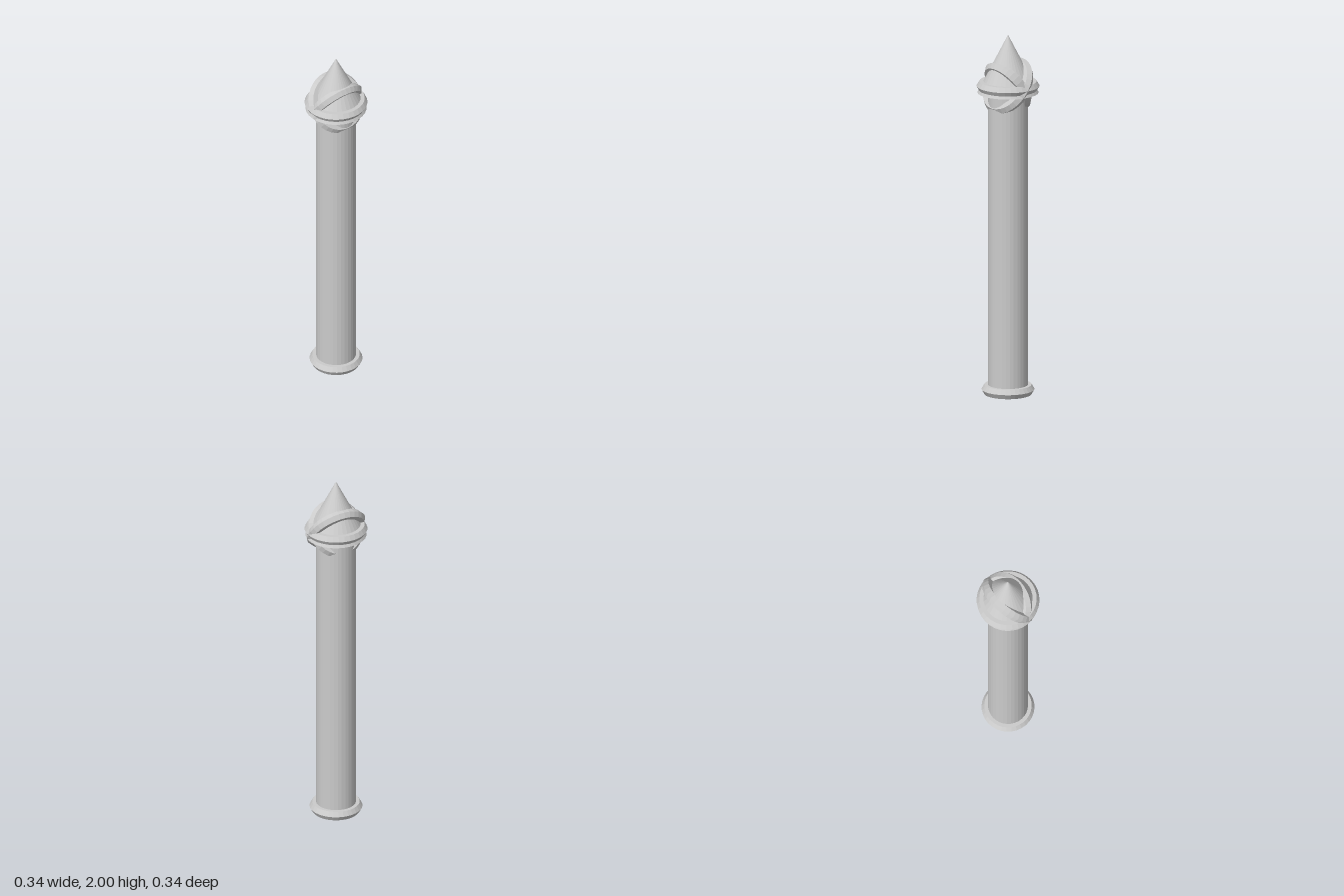
import * as THREE from 'three';

export function createModel() {
  const group = new THREE.Group();
  const material = new THREE.MeshStandardMaterial({ color: 0xcccccc, flatShading: true });

  const add = (name, geometry, y) => {
    const mesh = new THREE.Mesh(geometry, material);
    mesh.name = name;
    mesh.position.y = y;
    group.add(mesh);
    return mesh;
  };

  // Six-sided ring lying flat, tilted about x by the given degrees
  const ring = (name, radius, y, tilt = 0) => {
    const geometry = new THREE.TorusGeometry(radius, 0.03, 6, 32);
    geometry.rotateX(Math.PI / 2 + THREE.MathUtils.degToRad(tilt));
    return add(name, geometry, y);
  };

  // Shaft with its foot ring
  const bottom = 0.03, top = 1.68;
  add('shaft', new THREE.CylinderGeometry(0.108, 0.108, top - bottom, 32), (top + bottom) / 2);
  ring('footRing', 0.113, 0.03);

  // Pointed cap
  add('pointedCap', new THREE.ConeGeometry(0.165, 2 - top, 32), (2 + top) / 2);

  // Three interlaced rings around the cap
  ring('levelRing', 0.14, 1.717);
  ring('frontTiltedRing', 0.13, 1.717, -57);
  ring('backTiltedRing', 0.14, 1.717, 55);

  return group;
}
